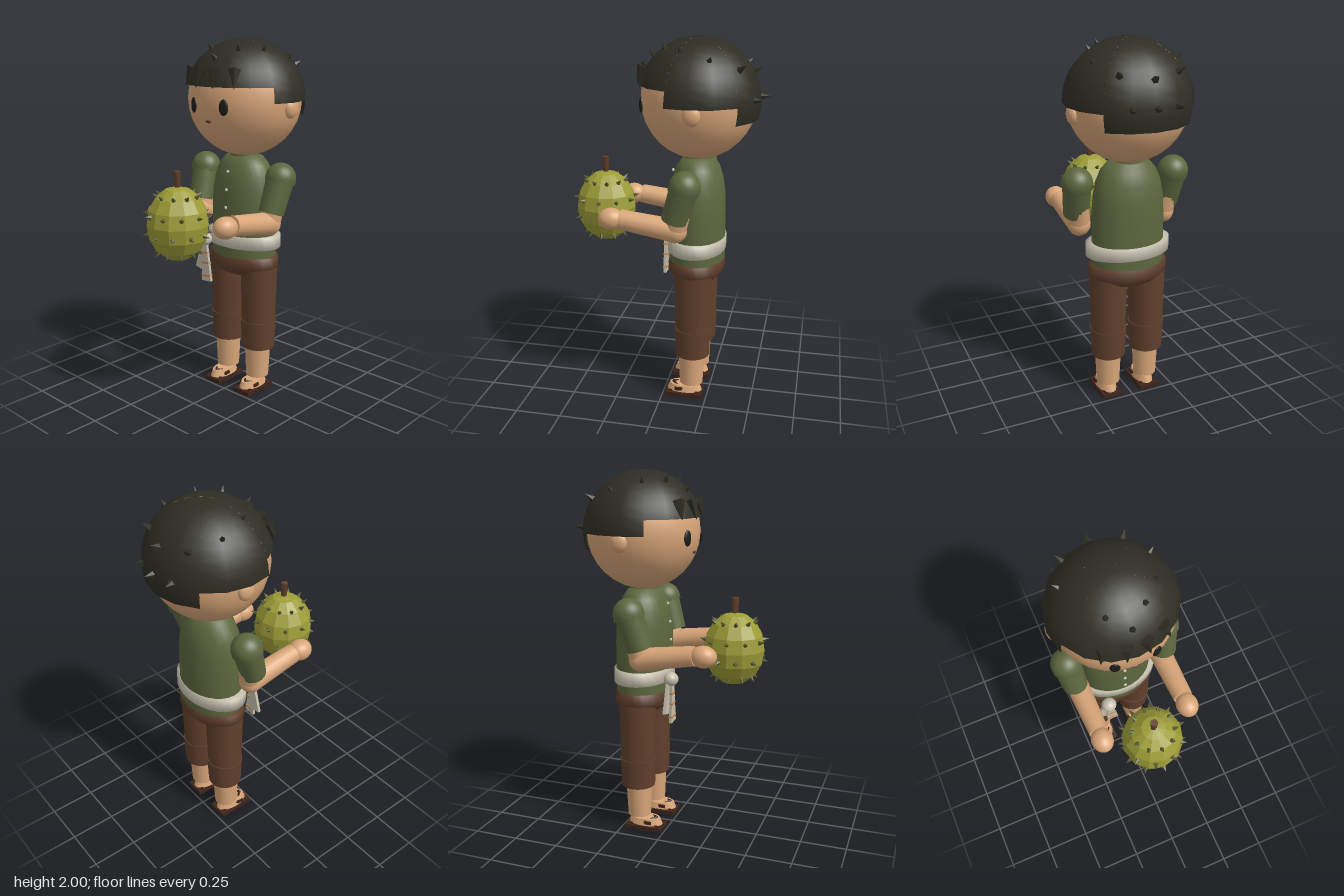
import * as THREE from 'three';

const mat = (name, color, extra = {}) => Object.assign(new THREE.MeshStandardMaterial({ color, ...extra }), { name });
const V = (x, y, z) => new THREE.Vector3(x, y, z);
const UP = V(0, 1, 0);
const CZ = -0.165; // depth of the body axis

export function createModel() {
  const model = new THREE.Group();
  const skin = mat('skin', 0xd9a679);
  const hair = mat('hair', 0x2e2d23, { side: THREE.DoubleSide });
  const shirt = mat('shirt', 0x5c673e, { side: THREE.DoubleSide });
  const trousers = mat('trousers', 0x613f2c);
  const cloth = mat('cloth', 0xc6c0ae);
  const rind = mat('rind', 0x9d9d38, { flatShading: true });
  const thorn = mat('thorn', 0x585b34, { flatShading: true });
  const black = mat('black', 0x1c1c1a);
  const sandal = mat('sandal', 0x3d241b);
  const orange = mat('orange', 0xcb8b50);

  const add = (name, geo, material, pos = V(0, 0, 0), parent = model) => {
    const m = new THREE.Mesh(geo, material);
    m.name = name;
    m.position.copy(pos);
    parent.add(m);
    return m;
  };
  const ball = (name, material, pos, rx, ry = rx, rz = rx) =>
    add(name, new THREE.SphereGeometry(1, 24, 16).scale(rx, ry, rz), material, pos);
  // tapered cylinder running from a to b
  const limb = (name, material, a, b, ra, rb, sides = 20) => {
    const d = b.clone().sub(a);
    const m = add(name, new THREE.CylinderGeometry(rb, ra, d.length(), sides), material, a.clone().add(b).multiplyScalar(0.5));
    m.quaternion.setFromUnitVectors(UP, d.normalize());
    return m;
  };
  // cone standing on a surface point along its normal
  const spike = (name, material, p, n, r, h, sides = 5) => {
    const m = add(name, new THREE.ConeGeometry(r, h, sides).translate(0, h * 0.35, 0), material, p);
    m.quaternion.setFromUnitVectors(UP, n.clone().normalize());
  };
  const lathe = (name, material, pts, zScale) =>
    add(name, new THREE.LatheGeometry(pts.map(p => new THREE.Vector2(...p)), 28).scale(1, 1, zScale), material, V(0, 0, CZ));

  // head
  ball('head', skin, V(0, 1.68, CZ), 0.316, 0.312, 0.304);
  ball('mouth', trousers, V(0, 1.575, 0.121), 0.021, 0.008, 0.006);
  for (const s of [-1, 1]) {
    ball('ear', skin, V(s * 0.308, 1.642, -0.178), 0.03, 0.052, 0.046);
    const eye = ball('eye', black, V(s * 0.107, 1.655, 0.12), 0.026, 0.042, 0.01);
    eye.rotation.y = s * 0.35;
  }

  // hair shell: short fringe, longer sides, longest at the nape
  const deg = Math.PI / 180;
  const HY = 1.675;
  for (const [name, from, to, bottom] of [
    ['hairFront', 22.5, 157.5, 1.756], ['hairSide', -45, 22.5, 1.675],
    ['hairSide', 157.5, 225, 1.675], ['hairBack', 225, 315, 1.585]]) {
    const geo = new THREE.SphereGeometry(1, Math.round((to - from) / 22.5), 10, from * deg, (to - from) * deg, 0, Math.acos((bottom - HY) / 0.325));
    add(name, geo.scale(0.336, 0.325, 0.325), hair, V(0, HY, CZ));
  }
  const tuftHair = mat('hair', 0x2e2d23, { flatShading: true });
  tuftHair.name = 'hairTuft';
  for (const x of [-0.15, -0.05, 0.05, 0.15]) {
    const z = CZ + Math.sqrt(0.325 ** 2 - x * x - 0.14 ** 2);
    spike('fringeTuft', tuftHair, V(x, 1.83, z), V(x * 0.2, -0.1, 0.035), 0.036, 0.105, 5);
  }
  const hairSpikes = [[0, 1.9, 0.24], [0, 1.83, -0.285], [0, 1.7, -0.322]];
  for (const s of [-1, 1]) hairSpikes.push([s * 0.095, 1.942, 0.16], [s * 0.18, 1.932, 0.065],
    [s * 0.225, 1.897, -0.085], [s * 0.155, 1.85, -0.225], [s * 0.12, 1.7, -0.3]);
  for (const [x, y, z] of hairSpikes)
    spike('hairSpike', tuftHair, V(x, y, CZ + z), V(x, y - HY, z), z < -0.2 ? 0.022 : 0.017, z < -0.2 ? 0.055 : 0.042);

  // torso, hips and belt
  limb('collar', shirt, V(0, 1.32, CZ), V(0, 1.4, CZ), 0.085, 0.075);
  lathe('shirt', shirt, [[0.2, 0.78], [0.2, 0.95], [0.199, 1.08], [0.193, 1.18], [0.178, 1.26], [0.15, 1.325], [0.115, 1.365], [0.07, 1.378], [0, 1.38]], 0.76);
  lathe('hips', trousers, [[0, 0.685], [0.12, 0.69], [0.17, 0.705], [0.222, 0.75], [0.22, 0.81], [0.19, 0.812], [0, 0.812]], 0.69);
  lathe('belt', cloth, [[0.19, 0.865], [0.236, 0.865], [0.236, 0.935], [0.19, 0.935]], 0.67);
  for (const [y, z] of [[1.29, -0.028], [1.19, -0.016], [1.09, -0.012], [0.99, -0.01]])
    ball('button', cloth, V(0, y, z), 0.009, 0.009, 0.008);

  // sash knot with two flared tails
  ball('sashKnot', cloth, V(-0.118, 0.9, 0.033), 0.042, 0.038, 0.04);
  for (const [top, bottom, banded] of [
    [V(-0.13, 0.88, 0.022), V(-0.165, 0.715, 0.02), false],
    [V(-0.118, 0.88, 0.036), V(-0.1, 0.655, 0.034), true]]) {
    const d = top.clone().sub(bottom);
    const tail = new THREE.Group();
    tail.name = 'sashTail';
    tail.position.copy(top).add(bottom).multiplyScalar(0.5);
    tail.quaternion.setFromUnitVectors(UP, d.clone().normalize());
    model.add(tail);
    const geo = new THREE.BoxGeometry(0.05, d.length(), 0.016);
    const p = geo.attributes.position;
    for (let i = 0; i < p.count; i++) p.setX(i, p.getX(i) * (p.getY(i) > 0 ? 0.75 : 1.35));
    add('sashCloth', geo, cloth, V(0, 0, 0), tail);
    if (banded) for (const y of [0.055, -0.005, -0.08])
      add('sashBand', new THREE.BoxGeometry(0.053 - y * 0.13, 0.011, 0.022), orange, V(0, y, 0), tail);
  }

  for (const s of [-1, 1]) {
    // legs
    const x = s * 0.115;
    limb('thigh', trousers, V(x, 0.42, CZ), V(x, 0.76, CZ), 0.096, 0.105);
    limb('trouserCuff', trousers, V(x, 0.263, CZ), V(x, 0.425, CZ), 0.094, 0.101);
    limb('shin', skin, V(x, 0.083, CZ + 0.005), V(x, 0.28, CZ + 0.005), 0.065, 0.074);

    // feet and sandals
    const fx = s * 0.115, fz = -0.122;
    add('foot', new THREE.CylinderGeometry(0.85, 1, 0.036, 20).scale(0.055, 1, 0.1), skin, V(fx, 0.048, fz));
    add('sole', new THREE.BoxGeometry(0.115, 0.022, 0.212), sandal, V(fx, 0.014, fz));
    add('footbed', new THREE.BoxGeometry(0.08, 0.012, 0.16), sandal, V(fx, 0.028, fz));
    for (const t of [-1, 1]) {
      limb('sandalStrap', sandal, V(fx, 0.068, -0.055), V(fx + t * 0.053, 0.05, -0.115), 0.008, 0.008, 6);
      add('strapAnchor', new THREE.BoxGeometry(0.008, 0.018, 0.035), sandal, V(fx + t * 0.053, 0.05, -0.09));
    }

    // sleeve with a scalloped shoulder cap
    const shoulder = V(s * 0.277, 1.275, -0.143), cuff = V(s * 0.262, 1.09, -0.087), elbow = V(s * 0.248, 1.03, -0.09);
    limb('sleeve', shirt, cuff, shoulder, 0.069, 0.076);
    const cap = new THREE.SphereGeometry(0.083, 24, 10, 0, Math.PI * 2, 0, 1.75);
    const p = cap.attributes.position;
    for (let i = 0; i < p.count; i++) if (p.getY(i) < -0.012)
      p.setY(i, p.getY(i) - 0.018 * Math.abs(Math.sin(4 * Math.atan2(p.getZ(i), p.getX(i)))));
    add('sleeveCap', cap, shirt, shoulder).rotation.x = -0.25;

    // forearm and hand reaching forward to the fruit
    limb('upperArm', skin, elbow, shoulder, 0.058, 0.06);
    ball('elbow', skin, elbow, 0.062, 0.064, 0.062);
    limb('forearm', skin, elbow, V(s * 0.246, 1.073, 0.205), 0.062, 0.053);
    ball('hand', skin, V(s * 0.247, 1.073, 0.255), 0.06, 0.058, 0.07);
  }

  // spiky fruit
  const C = V(0, 1.07, 0.35), R = 0.165, RY = 0.197;
  add('fruit', new THREE.SphereGeometry(1, 12, 8).scale(R, RY, R), rind, C);
  limb('fruitStem', trousers, V(0, 1.25, 0.35), V(0, 1.345, 0.35), 0.016, 0.021, 5);
  [0.145, 0.05, -0.05, -0.145].forEach((y, row) => {
    const r = R * Math.sqrt(1 - (y / RY) ** 2) * 0.97;
    for (let i = 0; i < 10; i++) {
      const a = (i + (row % 2) * 0.5) * Math.PI / 5;
      const d = V(Math.sin(a) * r, y, Math.cos(a) * r);
      spike('fruitSpike', thorn, C.clone().add(d), V(d.x / R ** 2, y / RY ** 2, d.z / R ** 2), 0.014, 0.036);
    }
  });
  return model;
}
